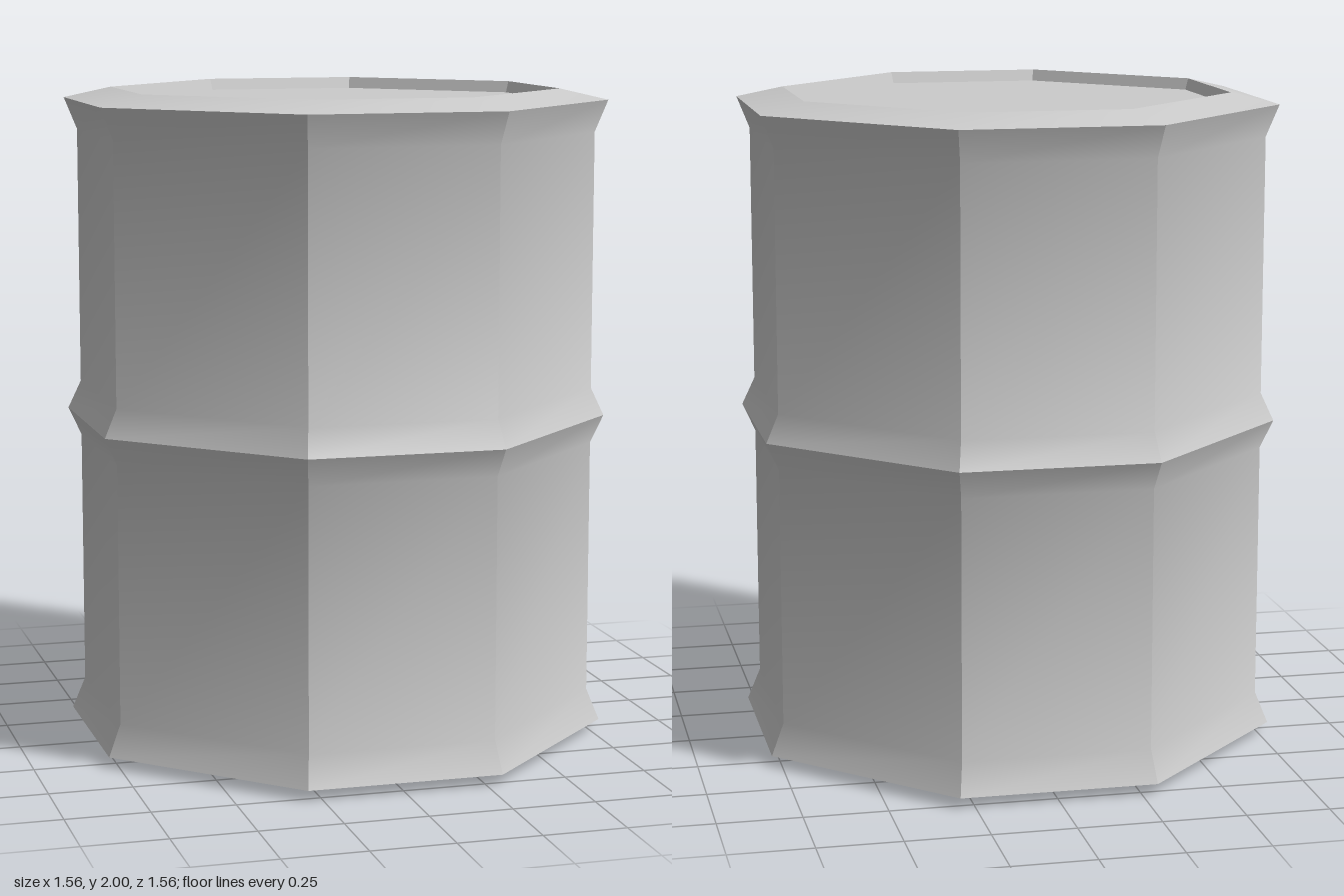
import * as THREE from 'three';
import { toCreasedNormals } from 'three/addons/utils/BufferGeometryUtils.js';

// Eight corners of a square of half-width a with cut corners; h is the half-length of its straight sides
function octagon([y, a, h]) {
  return [[h, a], [a, h], [a, -h], [h, -a], [-h, -a], [-a, -h], [-a, h], [-h, a]]
    .map(([x, z]) => [x, y, z]);
}

// Skin a stack of octagons, listed from bottom to top along the outside
function loft(rings, closed = false) {
  const loops = rings.map(octagon);
  const position = loops.flat(2);
  const index = [];
  for (let r = 0; r < loops.length - 1; r++) {
    for (let i = 0; i < 8; i++) {
      const j = (i + 1) % 8;
      const a = r * 8 + i, b = r * 8 + j, c = a + 8, d = b + 8;
      index.push(a, b, d, a, d, c);
    }
  }
  if (closed) {
    const top = (loops.length - 1) * 8;
    for (let i = 1; i < 7; i++) {
      index.push(0, i + 1, i); // bottom panel
      index.push(top, top + i, top + i + 1); // lid panel
    }
  }
  const geometry = new THREE.BufferGeometry();
  geometry.setAttribute('position', new THREE.Float32BufferAttribute(position, 3));
  geometry.setIndex(index);
  return toCreasedNormals(geometry, THREE.MathUtils.degToRad(30));
}

export function createModel() {
  const group = new THREE.Group();
  group.name = 'barrel';

  // Profile as [height, half-width, half side length]
  const profile = [
    [0.035, 0.635, 0.23], // recessed bottom
    [0, 0.645, 0.235], // inner edge of the bottom rim
    [0.033, 0.78, 0.295], // bottom flare
    [0.13, 0.742, 0.283],
    [0.915, 0.742, 0.283],
    [1, 0.78, 0.295], // middle ridge
    [1.085, 0.742, 0.283],
    [1.87, 0.742, 0.283],
    [1.967, 0.78, 0.295], // top flare
    [2, 0.645, 0.235], // inner edge of the top rim
    [1.965, 0.635, 0.23], // recessed lid
  ];
  const body = new THREE.Mesh(
    loft(profile, true),
    new THREE.MeshStandardMaterial({ color: 0xcccccc }),
  );
  body.name = 'barrelBody';
  group.add(body);
  return group;
}
